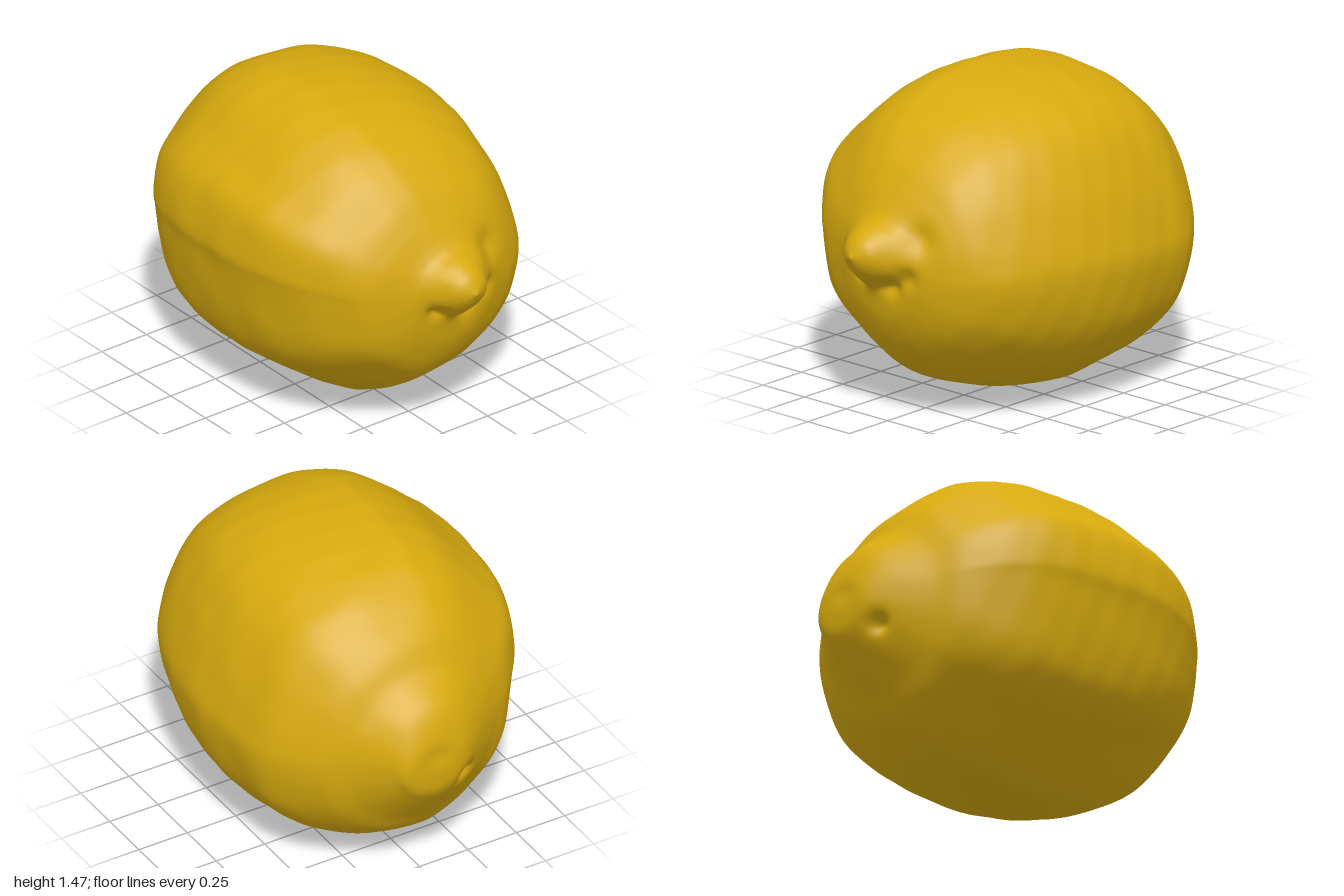
import * as THREE from 'three';
import { mergeVertices } from 'three/addons/utils/BufferGeometryUtils.js';

// Stations along the fruit: x, top y, bottom y, back z, front z
const STATIONS = [
  [-1, 0.71, 0.71, -0.05, -0.05],
  [-0.995, 0.77, 0.65, -0.11, 0.01],
  [-0.98, 0.85, 0.57, -0.2, 0.1],
  [-0.92, 0.98, 0.48, -0.26, 0.2],
  [-0.8, 1.09, 0.33, -0.38, 0.36],
  [-0.7, 1.23, 0.2, -0.51, 0.5],
  [-0.5, 1.385, 0.07, -0.66, 0.64],
  [-0.3, 1.45, 0.02, -0.7, 0.7],
  [-0.1, 1.47, 0, -0.72, 0.715],
  [0.1, 1.465, 0.02, -0.71, 0.715],
  [0.3, 1.43, 0.07, -0.67, 0.69],
  [0.5, 1.345, 0.16, -0.6, 0.61],
  [0.65, 1.22, 0.27, -0.5, 0.49],
  [0.73, 1.11, 0.36, -0.4, 0.39],
  [0.79, 1.01, 0.48, -0.28, 0.25],
  [0.83, 0.965, 0.62, -0.21, 0.18],
  [0.9, 0.935, 0.68, -0.13, 0.12],
  [0.96, 0.89, 0.75, -0.08, 0.07],
  [1, 0.82, 0.82, 0, 0],
];

// Slightly lobed girth outline: z, y, clockwise seen from the tip
const GIRTH = [
  [0.09, 1.47], [-0.2, 1.43], [-0.45, 1.3], [-0.6, 1.08], [-0.7, 0.8], [-0.715, 0.64],
  [-0.66, 0.42], [-0.55, 0.26], [-0.4, 0.14], [-0.2, 0.04], [0.08, 0], [0.22, 0.05],
  [0.4, 0.18], [0.57, 0.32], [0.65, 0.48], [0.7, 0.77], [0.715, 0.89], [0.67, 1.09],
  [0.55, 1.22], [0.375, 1.38], [0.22, 1.455],
];

// Dimples: centre x, y, z, radius, inward push along x
const DIMPLES = [
  [0.86, 0.7, 0.09, 0.05, -0.05],
  [0.86, 0.67, -0.08, 0.06, -0.06],
  [0.84, 0.72, -0.18, 0.05, -0.03],
  [0.8, 0.9, -0.22, 0.07, -0.03],
  [-0.94, 0.58, 0.13, 0.045, 0.045],
  [-0.99, 0.76, -0.04, 0.07, 0.012],
];

const RINGS = 150;
const SIDES = 128;

function createPeelGeometry() {
  const curve = (pts, closed) => new THREE.CatmullRomCurve3(pts, closed, 'catmullrom', 0.5);
  const heights = curve(STATIONS.map(([x, t, b]) => new THREE.Vector3(x, (t + b) / 2, (t - b) / 2)), false);
  const depths = curve(STATIONS.map(([x, , , k, f]) => new THREE.Vector3(x, (f + k) / 2, (f - k) / 2)), false);
  const girth = curve(GIRTH.map(([z, y]) => new THREE.Vector3(0, (y - 0.735) / 0.735, z / 0.718)), true);
  const outline = girth.getPoints(SIDES);

  const positions = [];
  const indices = [];
  for (let i = 0; i <= RINGS; i++) {
    const h = heights.getPoint(i / RINGS);
    const d = depths.getPoint(i / RINGS);
    // Lobes fade to a round section at both ends
    const round = THREE.MathUtils.smoothstep(Math.abs(h.x), 0.55, 0.9);
    for (let j = 0; j < SIDES; j++) {
      const o = outline[j];
      const k = THREE.MathUtils.lerp(1, 1 / Math.hypot(o.y, o.z), round);
      // Gentle unevenness of the peel
      const a = Math.atan2(o.y, o.z);
      const bump = 1 + 0.004 * Math.sin(5 * a + 9 * h.x) * Math.sin(11 * h.x + 2 * a)
        + 0.003 * Math.sin(13 * a - 17 * h.x) * Math.sin(23 * h.x + 4 * a);
      const p = new THREE.Vector3(h.x, h.y + h.z * o.y * k * bump, d.y + d.z * o.z * k * bump);
      let push = 0;
      for (const [x, y, z, r, amount] of DIMPLES) {
        const q = (p.x - x) ** 2 + (p.y - y) ** 2 + (p.z - z) ** 2;
        push += amount * Math.exp(-q / (r * r));
      }
      positions.push(p.x + push, p.y, p.z);
      if (i < RINGS) {
        const n = (j + 1) % SIDES;
        const [A, B, C, D] = [i * SIDES + j, (i + 1) * SIDES + j, i * SIDES + n, (i + 1) * SIDES + n];
        if (i < RINGS - 1) indices.push(A, B, D);
        else indices.push(A, B, C);
        if (i > 0 && i < RINGS - 1) indices.push(A, D, C);
      }
    }
  }
  const raw = new THREE.BufferGeometry();
  raw.setAttribute('position', new THREE.Float32BufferAttribute(positions, 3));
  raw.setIndex(indices);
  const geometry = mergeVertices(raw, 1e-5);
  geometry.computeVertexNormals();
  return geometry;
}

export function createModel() {
  const group = new THREE.Group();
  group.name = 'lemon';
  const peelYellow = new THREE.MeshStandardMaterial({ color: 0xd6a90e });
  peelYellow.name = 'peelYellow';
  const peel = new THREE.Mesh(createPeelGeometry(), peelYellow);
  peel.name = 'peel';
  group.add(peel);
  return group;
}
